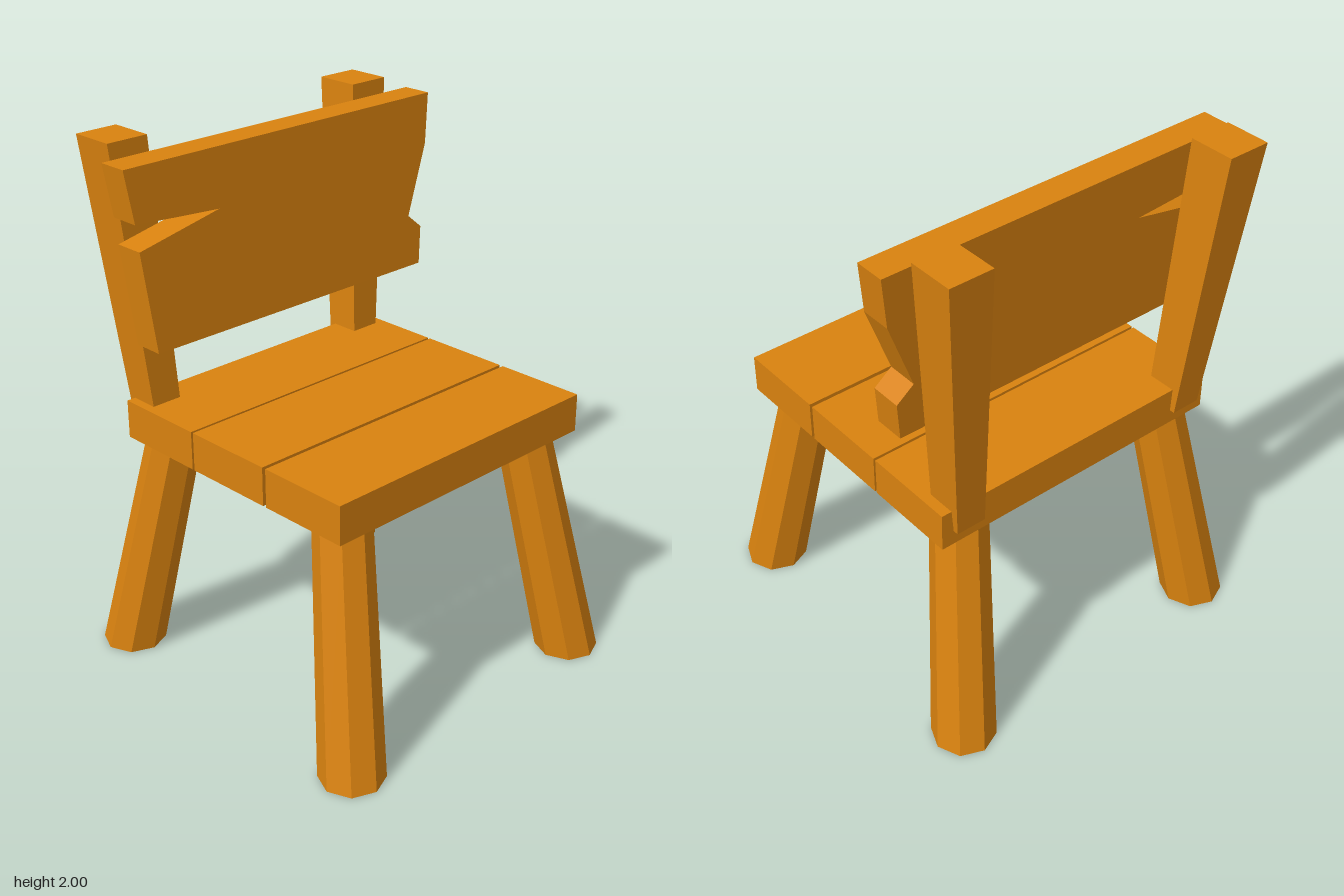
import * as THREE from 'three';

const wood = new THREE.MeshStandardMaterial({ color: 0xd9820f, flatShading: true });
wood.name = 'orange wood';

function add(group, name, geometry) {
  geometry.computeVertexNormals();
  const mesh = new THREE.Mesh(geometry, wood);
  mesh.name = name;
  group.add(mesh);
}

// Moves every vertex by a rule
function reshape(geometry, rule) {
  const p = geometry.attributes.position;
  for (let i = 0; i < p.count; i++) p.setXYZ(i, ...rule(p.getX(i), p.getY(i), p.getZ(i)));
  return geometry;
}

// Unit box stretched between two rectangles [x0, x1, z0, z1] at heights y0 and y1
function taperedBox(y0, low, y1, high) {
  return reshape(new THREE.BoxGeometry(1, 1, 1), (x, y, z) => {
    const r = y < 0 ? low : high;
    return [x < 0 ? r[0] : r[1], y < 0 ? y0 : y1, z < 0 ? r[2] : r[3]];
  });
}

export function createModel() {
  const chair = new THREE.Group();
  chair.name = 'chair';
  const sides = [[1, 'left'], [-1, 'right']];
  const cx = -0.01; // the seat sits slightly off centre
  const legCx = -0.028;

  // Seat planks with narrow gaps
  [[0.195, 0.55], [-0.18, 0.18], [-0.55, -0.19]].forEach(([z0, z1], i) => {
    const rect = [-0.605, 0.59, z0, z1];
    add(chair, `seatPlank${i + 1}`, taperedBox(0.885, rect, 1.03, rect));
  });

  // Splayed octagonal legs
  for (const [sx, side] of sides) {
    for (const [sz, end] of [[1, 'Front'], [-1, 'Back']]) {
      const y0 = 0.005, y1 = 0.9;
      const leg = new THREE.CylinderGeometry(0.102, 0.119, y1 - y0, 8);
      reshape(leg, (x, y, z) => {
        const t = y / (y1 - y0) + 0.5;
        return [
          x + legCx + sx * (0.576 - 0.119 * t),
          y + (y0 + y1) / 2,
          z + sz * (0.602 - 0.167 * t),
        ];
      });
      add(chair, `${side}${end}Leg`, leg);
    }
  }

  // Back posts, wider at the top and leaning outward
  for (const [sx, side] of sides) {
    const span = (inner, outer) => {
      const a = cx + sx * inner, b = cx + sx * outer;
      return [Math.min(a, b), Math.max(a, b)];
    };
    add(chair, `${side}BackPost`, taperedBox(
      0.94, [...span(0.437, 0.552), -0.57, -0.437],
      2.0, [...span(0.484, 0.65), -0.665, -0.492],
    ));
  }

  // Broken backrest board with a split on one side and a notch on the other
  const outline = [
    [-0.64, 1.3], [0.645, 1.3], [0.66, 1.445], [0.595, 1.5], [0.697, 1.765],
    [0.72, 1.955], [-0.715, 1.955], [-0.687, 1.765], [-0.33, 1.74], [-0.68, 1.67],
  ].map(([x, y]) => new THREE.Vector2(x, y));
  const board = new THREE.ExtrudeGeometry(new THREE.Shape(outline), { depth: 0.115, bevelEnabled: false });
  reshape(board, (x, y, z) => [x, y, z - 0.415 - (y - 1.3) * 0.058]);
  add(chair, 'backrestBoard', board);

  return chair;
}
